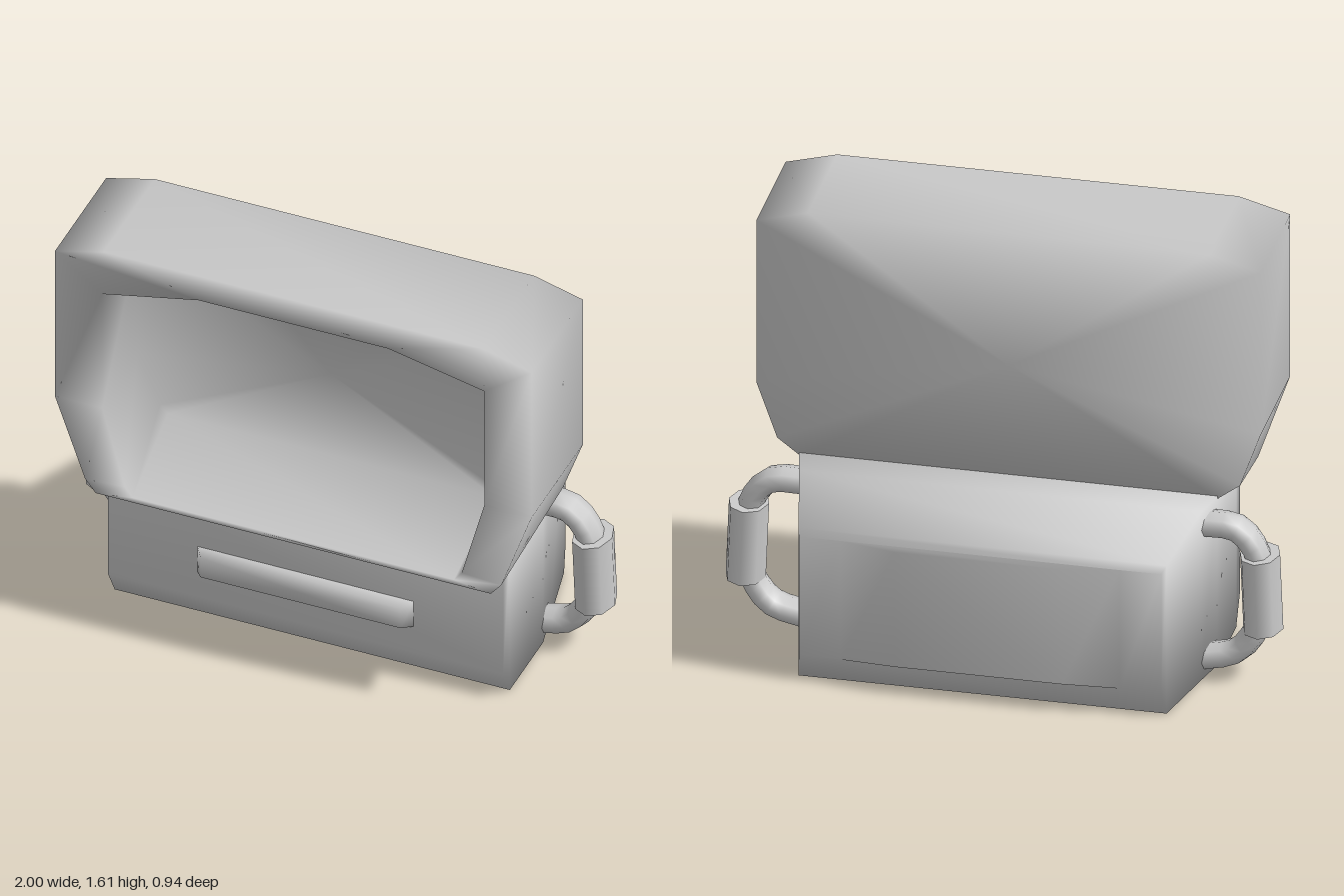
import * as THREE from 'three';

const grey = () => new THREE.MeshStandardMaterial({ color: 0xcccccc });

// Skin a series of rings (counter-clockwise seen from +z) and cap both ends, smooth shaded
function loft(name, rings) {
  const n = rings[0].length, pos = [], idx = [];
  rings.forEach(r => r.forEach(p => pos.push(...p)));
  for (let i = 0; i < rings.length - 1; i++)
    for (let j = 0; j < n; j++) {
      const a = i * n + j, b = i * n + (j + 1) % n;
      idx.push(a, b, a + n, b, b + n, a + n);
    }
  const cap = (ringIndex, flip) => {
    const c = pos.length / 3, mid = [0, 1, 2].map(k => rings[ringIndex].reduce((s, p) => s + p[k], 0) / n);
    pos.push(...mid);
    for (let j = 0; j < n; j++) {
      const a = ringIndex * n + j, b = ringIndex * n + (j + 1) % n;
      if (flip) idx.push(c, b, a); else idx.push(c, a, b);
    }
  };
  cap(0, true);
  cap(rings.length - 1, false);
  const g = new THREE.BufferGeometry();
  g.setAttribute('position', new THREE.Float32BufferAttribute(pos, 3));
  g.setIndex(idx);
  g.computeVertexNormals();
  const m = new THREE.Mesh(g, grey());
  m.name = name;
  return m;
}

// Rectangular ring at depth z
const box = ([z, w, y0, y1]) => [[w, y0, z], [w, y1, z], [-w, y1, z], [-w, y0, z]];

// Mirror the +x half of an outline (listed bottom to top) into a full ring
const mirrored = half => [...half, ...half.slice().reverse().map(([x, y, z]) => [-x, y, z])];

function createHandle() {
  const h = new THREE.Group();
  h.name = 'sideHandle';

  // bent bar, wider in z than in x
  const path = new THREE.CatmullRomCurve3([
    [0.70, 0.585], [0.83, 0.58], [0.885, 0.53], [0.92, 0.44],
    [0.92, 0.24], [0.885, 0.155], [0.83, 0.095], [0.70, 0.06],
  ].map(([x, y]) => new THREE.Vector3(x, y, 0)), false, 'centripetal');
  const bar = new THREE.Mesh(new THREE.TubeGeometry(path, 18, 0.045, 8), grey());
  bar.name = 'handleBar';
  bar.scale.z = 1.45;
  bar.position.z = -0.052;

  // thick grip around the upright stretch
  const grip = new THREE.Mesh(new THREE.CylinderGeometry(0.072, 0.072, 0.29, 8), grey());
  grip.name = 'handleGrip';
  grip.scale.z = 1.33;
  grip.position.set(0.922, 0.34, -0.055);
  grip.rotation.z = 0.04;
  h.add(bar, grip);
  return h;
}

export function createModel() {
  const model = new THREE.Group();
  model.name = 'openCase';

  // lower body: depth, half width, bottom, top
  model.add(loft('body', [
    [-0.472, 0.30, 0.11, 0.56],
    [-0.44, 0.50, 0.10, 0.565],
    [-0.438, 0.65, 0.10, 0.565],
    [-0.40, 0.66, 0.00, 0.58],
    [-0.12, 0.722, 0.00, 0.66],
    [0.00, 0.75, 0.00, 0.66],
    [0.15, 0.75, 0.00, 0.66],
    [0.30, 0.75, 0.00, 0.61],
    [0.36, 0.75, 0.11, 0.55],
  ].map(box)));

  // raised bar on the front
  model.add(loft('frontLip', [[0.34, 0.41, 0.22, 0.33], [0.36, 0.41, 0.22, 0.33], [0.405, 0.38, 0.235, 0.32]].map(box)));

  // upright shell: back, outer front edge, inner rim, recess floor
  model.add(loft('upperShell', [
    [[0.75, 0.65, 0.01], [0.83, 0.71, 0.01], [0.905, 0.92, 0.01], [0.905, 1.555, 0.01], [0.72, 1.605, 0.01]],
    [[0.75, 0.54, 0.47], [0.79, 0.59, 0.47], [0.905, 0.92, 0.47], [0.905, 1.555, 0.47], [0.72, 1.605, 0.47]],
    [[0.61, 0.56, 0.47], [0.64, 0.60, 0.47], [0.725, 0.92, 0.47], [0.725, 1.42, 0.47], [0.36, 1.50, 0.47]],
    [[0.62, 0.69, 0.13], [0.65, 0.72, 0.13], [0.735, 0.92, 0.13], [0.735, 1.41, 0.13], [0.38, 1.48, 0.13]],
  ].map(mirrored)));

  // one handle per side
  const left = createHandle(), right = createHandle();
  left.name = 'leftHandle';
  right.name = 'rightHandle';
  right.rotation.y = Math.PI;
  right.position.z = -0.107;
  model.add(left, right);
  return model;
}
